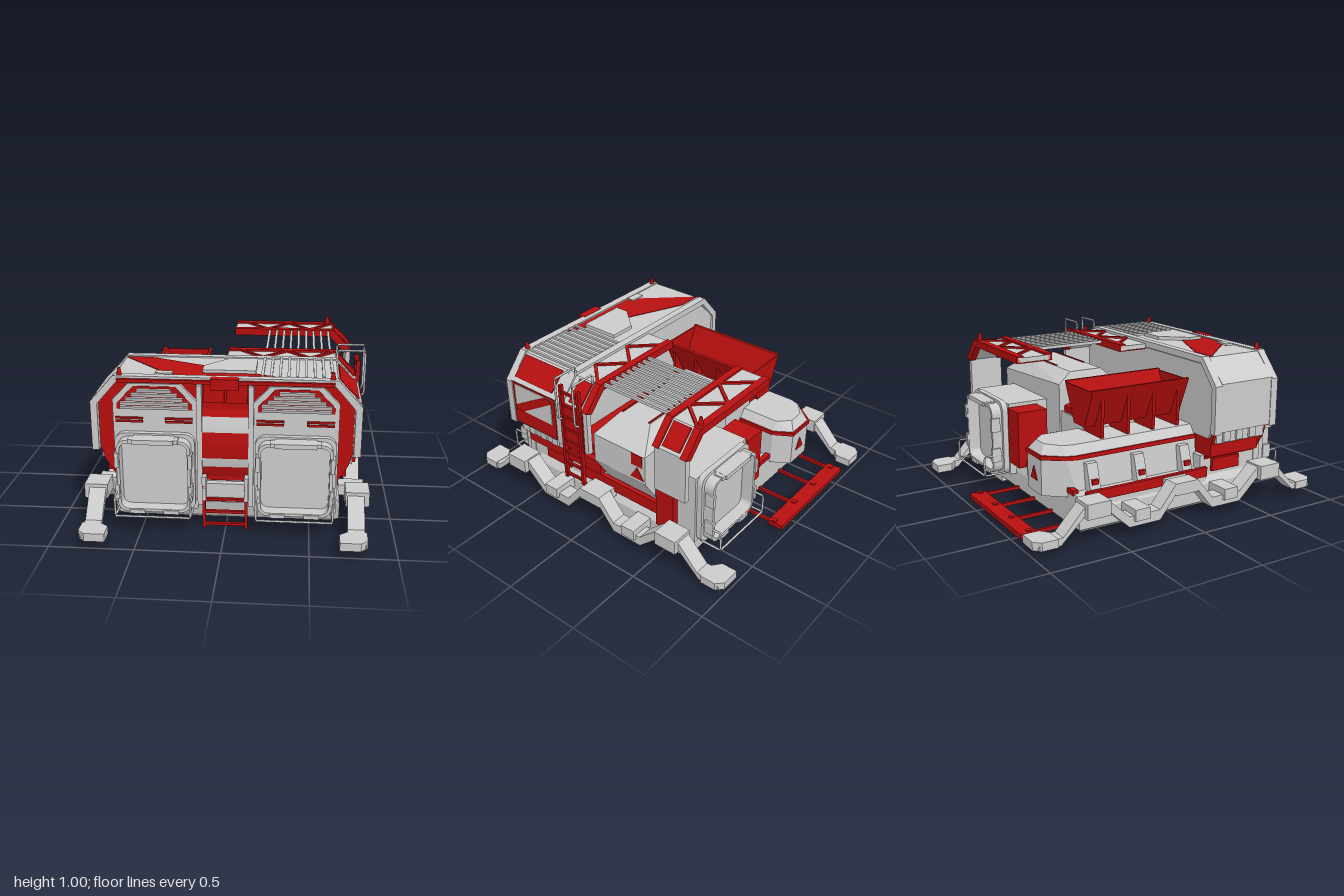
import * as THREE from 'three';
import { ConvexGeometry } from 'three/addons/geometries/ConvexGeometry.js';

const grey = new THREE.MeshStandardMaterial({ color: 0xcccccc });
const red = new THREE.MeshStandardMaterial({ color: 0xb80f0f });

export function createModel() {
  const root = new THREE.Group();
  const add = (name, geo, mat, parent = root) => {
    const m = new THREE.Mesh(geo, mat);
    m.name = name;
    parent.add(m);
    return m;
  };
  // box given by its min/max extents
  const box = (name, mat, x0, x1, y0, y1, z0, z1, parent) => {
    const m = add(name, new THREE.BoxGeometry(x1 - x0, y1 - y0, z1 - z0), mat, parent);
    m.position.set((x0 + x1) / 2, (y0 + y1) / 2, (z0 + z1) / 2);
    return m;
  };
  const poly = pts => new THREE.Shape(pts.map(p => new THREE.Vector2(...p)));
  // outline in x/y pushed from z0 to z1
  const slabZ = (name, mat, pts, z0, z1) =>
    add(name, new THREE.ExtrudeGeometry(poly(pts), { depth: z1 - z0, bevelEnabled: false }).translate(0, 0, z0), mat);
  // outline in z/y pushed from x0 to x1
  const slabX = (name, mat, pts, x0, x1, parent) =>
    add(name, new THREE.ExtrudeGeometry(poly(pts), { depth: x1 - x0, bevelEnabled: false }).rotateY(-Math.PI / 2).translate(x1, 0, 0), mat, parent);
  // outline in x/z pushed from y0 to y1
  const slabY = (name, mat, pts, y0, y1, parent) =>
    add(name, new THREE.ExtrudeGeometry(poly(pts), { depth: y1 - y0, bevelEnabled: false }).rotateX(Math.PI / 2).translate(0, y1, 0), mat, parent);
  const hull = (name, mat, pts) => add(name, new ConvexGeometry(pts.map(p => new THREE.Vector3(...p))), mat);
  // straight square bar between two points
  const bar = (name, mat, a, b, w) => {
    const p = new THREE.Vector3(...a), q = new THREE.Vector3(...b);
    const m = add(name, new THREE.BoxGeometry(w, w, p.distanceTo(q)), mat);
    m.position.copy(p).lerp(q, 0.5);
    m.lookAt(q);
  };
  const pipe = (name, mat, pts, r, parent) => {
    const path = new THREE.CurvePath();
    const v = pts.map(p => new THREE.Vector3(...p));
    for (let i = 1; i < v.length; i++) path.add(new THREE.LineCurve3(v[i - 1], v[i]));
    add(name, new THREE.TubeGeometry(path, (v.length - 1) * 6, r, 6), mat, parent);
  };
  const mirror = pts => [...pts, ...pts.slice().reverse().map(([x, y]) => [-x, y])];

  // base slab with bevelled lower edge
  const rect = (x, z0, z1, y) => [[-x, y, z0], [x, y, z0], [x, y, z1], [-x, y, z1]];
  hull('baseSlab', grey, [...rect(0.64, -0.62, 0.56, 0.01), ...rect(0.68, -0.65, 0.59, 0.04), ...rect(0.68, -0.65, 0.62, 0.15), ...rect(0.64, -0.63, 0.62, 0.21)]);
  box('baseBlock', grey, 0.4, 0.68, 0, 0.13, -0.65, -0.4);

  // zigzag side beams with feet
  const zig = [[0.98, 0.045], [0.84, 0.045], [0.69, 0.185], [0.54, 0.185], [0.4, 0.055], [0.19, 0.055], [0.08, 0.19]];
  const low = [...zig, ...zig.slice().reverse().map(([z, y]) => [-z, y])];
  const outline = [...low, ...low.slice().reverse().map(([z, y]) => [z * (Math.abs(z) > 0.6 ? 0.985 : 1), y + (Math.abs(z) > 0.8 ? 0.045 : 0.065)])];
  for (const s of [-1, 1]) {
    const g = new THREE.Group();
    g.name = s > 0 ? 'leftBeam' : 'rightBeam';
    root.add(g);
    slabX('zigzagBeam', grey, outline, s * 0.77 - 0.05, s * 0.77 + 0.05, g);
    const sb = (n, m, a, b, ...r) => box(n, m, Math.min(s * a, s * b), Math.max(s * a, s * b), ...r, g);
    for (const e of [-1, 1]) {
      const zb = (n, a, b, y0, y1, z0, z1) => sb(n, grey, a, b, y0, y1, Math.min(e * z0, e * z1), Math.max(e * z0, e * z1));
      slabY('foot', grey, [[0.67, 0.9], [0.67, 1], [0.79, 1], [0.83, 0.96], [0.83, 0.86], [0.72, 0.86]].map(([x, z]) => [x * s, z * e]), 0.043, 0.093, g);
      zb('beamBlock', 0.71, 0.85, 0.17, 0.26, 0.54, 0.69);
      zb('beamClamp', 0.68, 0.84, 0.09, 0.16, 0.27, 0.37);
    }
    sb('beamClamp', grey, 0.66, 0.82, 0.18, 0.25, -0.08, 0.08);
  }

  // front module: grey foot and red core under a grey arched shell
  box('frontFoot', grey, -0.65, 0.65, 0.15, 0.33, 0.22, 0.65);
  slabZ('frontCore', red, mirror([[0.65, 0.3], [0.66, 0.32], [0.72, 0.42], [0.75, 0.52], [0.75, 0.79], [0.63, 0.92]]), 0.25, 0.66);
  slabZ('backWall', grey, mirror([[0.7, 0.45], [0.745, 0.52], [0.745, 0.78], [0.62, 0.9]]), 0.235, 0.26);
  const outer = [[0.78, 0.5], [0.78, 0.8], [0.64, 0.94]], inner = [[0.74, 0.5], [0.74, 0.785], [0.625, 0.9]];
  const shell = [...mirror(outer), ...mirror(inner).reverse()];
  slabZ('frontShell', grey, shell, 0.27, 0.66);
  const rib = shell.map(([x, y]) => [x * 1.005, y > 0.85 ? y + 0.008 : y - 0.01]);
  for (const [z0, z1] of [[0.22, 0.27], [0.65, 0.7]]) slabZ('archRib', grey, rib, z0, z1);
  box('frontTopTrim', red, -0.62, 0.62, 0.915, 0.935, 0.69, 0.72);
  slabY('roofRedPanel', red, [[-0.64, 0.29], [-0.48, 0.29], [0.3, 0.64], [-0.32, 0.64]], 0.93, 0.944);
  slabY('roofHatch', grey, [[-0.14, 0.5], [0, 0.34], [0.17, 0.34], [0.17, 0.59], [-0.14, 0.59]], 0.94, 0.962);
  box('roofVent', grey, -0.41, -0.31, 0.94, 0.953, 0.59, 0.64);
  // red plate lying on the roof chamfer
  const slopePanel = (z0, z1, drop) => hull('slopePanel', red, [z0, z1].flatMap(z =>
    [[0.655, 0.935, z], [0.765, 0.825, z], [0.64, 0.92, z], [0.74, 0.82, z]].map(([x, y, c]) => [x, y - drop, c])));
  slopePanel(0.32, 0.64, 0);

  // side panels of the front module
  box('sidePanel', red, 0.76, 0.785, 0.51, 0.8, 0.28, 0.64);
  box('sideInset', grey, 0.78, 0.789, 0.61, 0.79, 0.31, 0.62);
  slabX('sideDiagonal', red, [[0.62, 0.61], [0.56, 0.61], [0.31, 0.76], [0.31, 0.79], [0.36, 0.79], [0.62, 0.64]], 0.78, 0.793);
  for (const s of [-1, 1]) {
    box('sideLedge', grey, s * 0.715 - 0.025, s * 0.715 + 0.025, 0.42, 0.51, 0.27, 0.64);
    for (const z of [0.34, 0.44, 0.54]) box('sideBracket', grey, s * 0.725 - 0.03, s * 0.725 + 0.03, 0.43, 0.5, z - 0.025, z + 0.025);
    box('sideBand', red, s * 0.69 - 0.02, s * 0.69 + 0.02, 0.33, 0.42, s > 0 ? 0 : 0.25, 0.62);
    box('sideLowerPanel', red, s * 0.655 - 0.015, s * 0.655 + 0.015, 0.22, 0.3, 0.3, 0.51);
  }

  // round-cornered hatch with handrails, built facing +z from z = 0
  const rounded = (w, h, r, P) => {
    const p = new P();
    p.moveTo(-w + r, -h); p.lineTo(w - r, -h); p.absarc(w - r, -h + r, r, -Math.PI / 2, 0);
    p.lineTo(w, h - r); p.absarc(w - r, h - r, r, 0, Math.PI / 2);
    p.lineTo(-w + r, h); p.absarc(-w + r, h - r, r, Math.PI / 2, Math.PI);
    p.lineTo(-w, -h + r); p.absarc(-w + r, -h + r, r, Math.PI, Math.PI * 1.5);
    return p;
  };
  const hatch = (x, z, turn) => {
    const g = new THREE.Group();
    g.name = 'hatch';
    g.position.set(x, 0.365, z);
    g.rotation.y = turn;
    root.add(g);
    const ring = (w, h, t, d) => {
      const s = rounded(w, h, 0.06, THREE.Shape);
      s.holes.push(rounded(w - t, h - t, 0.045, THREE.Path));
      return new THREE.ExtrudeGeometry(s, { depth: d, bevelEnabled: false, curveSegments: 6 });
    };
    add('hatchTunnel', ring(0.215, 0.225, 0.018, 0.1), grey, g);
    add('hatchCollar', ring(0.235, 0.245, 0.03, 0.035), grey, g);
    box('hatchDoor', grey, -0.2, 0.2, -0.21, 0.21, 0, 0.02, g);
    for (const s of [-1, 1]) {
      for (const y of [-0.1, 0.1]) box('hatchLatch', grey, s * 0.214 - 0.012, s * 0.214 + 0.012, y - 0.045, y + 0.045, 0.05, 0.11, g);
      for (const x of [-0.1, 0.1]) box('hatchLatch', grey, x - 0.045, x + 0.045, s * 0.222 - 0.012, s * 0.222 + 0.012, 0.05, 0.11, g);
      pipe('railEnd', grey, [[s * 0.22, -0.1, 0.02], [s * 0.22, -0.1, 0.165], [s * 0.22, -0.225, 0.165], [s * 0.22, -0.225, 0.02]], 0.007, g);
    }
    pipe('rail', grey, [[-0.22, -0.225, 0.165], [0.22, -0.225, 0.165]], 0.007, g);
    box('hatchHood', grey, -0.12, 0.12, 0.207, 0.235, 0, 0.12, g);
  };
  hatch(-0.41, 0.69, 0);
  hatch(0.41, 0.69, 0);
  hatch(0.41, -0.69, Math.PI);

  // front facade: columns, louvres and warning strips
  for (const s of [-1, 1]) {
    const c = s * 0.41;
    slabZ('facadeColumn', grey, [[-0.245, 0.12], [0.245, 0.12], [0.245, 0.8], [0.15, 0.9], [-0.15, 0.9], [-0.245, 0.8]].map(([x, y]) => [x + c, y]), 0.64, 0.685);
    slabZ('louvreFrame', red, [[-0.22, 0.745], [0.22, 0.745], [0.22, 0.78], [0.12, 0.885], [-0.12, 0.885], [-0.22, 0.78]].map(([x, y]) => [x + c, y]), 0.65, 0.69);
    for (let i = 0; i < 5; i++) {
      const w = 0.2 - Math.max(0, i - 1) * 0.033, y = 0.75 + i * 0.026;
      box('louvre', grey, c - w, c + w, y, y + 0.018, 0.675, 0.7).rotation.x = 0.3;
    }
    for (const k of [-0.15, 0.14]) for (const y of [0.665, 0.685]) box('warningStrip', red, c + k - 0.08, c + k + 0.08, y, y + 0.012, 0.68, 0.694);
    box('centrePost', grey, s * 0.15 - 0.015, s * 0.15 + 0.015, 0.15, 0.9, 0.64, 0.7);
    for (const z of [0.67, -0.68]) if (s > 0 || z > 0) {
      const b = add('beacon', new THREE.CylinderGeometry(0.008, 0.018, 0.05, 8), red);
      b.position.set(s * 0.61, 0.965, z);
    }
    box('centreWindow', red, s * 0.066 - 0.06, s * 0.066 + 0.06, 0.79, 0.9, 0.66, 0.675);
    box('ladderBracket', grey, s * 0.125 - 0.012, s * 0.125 + 0.012, 0.19, 0.34, 0.66, 0.72);
  }
  // curved centre plate with lighter bands
  const curved = (name, mat, r, a, span) => {
    const geo = new THREE.CylinderGeometry(r, r, 0.27, 16, 1, true, a, span).rotateZ(Math.PI / 2);
    add(name, geo, mat).position.set(0, 0.535, 0.123);
  };
  curved('centrePlate', red, 0.577, -0.42, 0.84);
  curved('centreBand', grey, 0.58, 0.14, 0.16);
  curved('centreBand', grey, 0.58, -0.24, 0.1);
  box('centreLamp', red, -0.08, 0.08, 0.885, 0.95, 0.68, 0.735);
  box('centreStep', grey, -0.13, 0.13, 0.2, 0.29, 0.62, 0.69);

  // ladders: front centre and left side
  const frontLadder = new THREE.Group(), sideLadder = new THREE.Group();
  frontLadder.name = 'frontLadder'; sideLadder.name = 'sideLadder';
  root.add(frontLadder, sideLadder);
  for (const s of [-1, 1]) box('stile', red, s * 0.125 - 0.009, s * 0.125 + 0.009, 0.01, 0.29, 0.7, 0.72, frontLadder);
  for (const y of [0.03, 0.11, 0.19]) box('rung', red, -0.12, 0.12, y, y + 0.016, 0.7, 0.72, frontLadder);
  for (const z of [0.08, 0.22]) {
    box('stile', red, 0.765, 0.79, 0.26, 0.93, z - 0.01, z + 0.01, sideLadder);
    pipe('grabRail', grey, [[0.65, 0.93, z], [0.65, 0.99, z], [0.82, 0.99, z], [0.82, 0.72, z], [0.78, 0.69, z]], 0.007, sideLadder);
  }
  for (let y = 0.28; y < 0.92; y += 0.085) box('rung', red, 0.77, 0.785, y, y + 0.016, 0.08, 0.22, sideLadder);

  // half arches over the rear bay with truss panels, red edges and lining
  const half = [[-0.03, 0.9], [0.625, 0.9], [0.735, 0.785], [0.735, 0.5], [0.77, 0.5], [0.77, 0.8], [0.64, 0.93], [-0.03, 0.93]];
  const edge = [[-0.03, 0.895], [0.625, 0.895], [0.735, 0.78], [0.778, 0.8], [0.648, 0.942], [-0.03, 0.942]];
  for (const [z0, z1, edges] of [[0.03, 0.23, [0.02]], [-0.7, -0.48, [-0.71, -0.515]]]) {
    slabZ('archPanel', grey, half, z0, z1);
    box('archLining', red, -0.02, 0.62, 0.892, 0.902, z0 + 0.01, z1 - 0.01);
    for (const z of edges) slabZ('archEdge', red, edge, z, z + 0.045);
    slopePanel(z0 + 0.05, z1 - 0.05, 0.005);
    for (let i = 0; i < 4; i++) {
      const a = z0 + 0.03, b = z1 - 0.02, x = 0.05 + i * 0.145;
      bar('trussBar', red, [x, 0.932, i % 2 ? b : a], [x + 0.145, 0.932, i % 2 ? a : b], 0.02);
    }
  }
  box('archSide', red, 0.74, 0.776, 0.5, 0.79, 0.06, 0.22);
  // roof slats
  for (let i = 0; i < 9; i++) {
    const x = 0.21 + i * 0.05;
    box('baySlat', grey, x - 0.008, x + 0.008, 0.915, 0.935, -0.48, 0.03);
    box('roofSlat', grey, x - 0.008, x + 0.008, 0.94, 0.953, 0.27, 0.65);
  }

  // angular tank under the slats
  hull('tank', grey, [...[-0.11, -0.33].flatMap(z => [[0, 0.8, z], [0.62, 0.8, z]]),
    ...[-0.03, -0.42].flatMap(z => [[-0.02, 0.73, z], [0.78, 0.69, z], [0.78, 0.5, z], [0.66, 0.31, z], [-0.02, 0.25, z]])]);
  for (const z of [-0.32, -0.12]) box('tankRidge', red, 0.2, 0.62, 0.795, 0.806, z - 0.005, z + 0.005);
  box('tankSquare', red, 0.77, 0.784, 0.61, 0.69, -0.4, -0.32);
  slabX('tankTriangle', red, [[-0.41, 0.52], [-0.31, 0.52], [-0.36, 0.6]], 0.77, 0.784);
  box('bayFoot', grey, 0, 0.65, 0.15, 0.33, -0.42, 0.22);
  box('baySide', red, 0, 0.67, 0.33, 0.5, 0, 0.24);
  // rear block behind the tank
  box('rearBlock', grey, 0.16, 0.66, 0.13, 0.6, -0.69, -0.42);
  box('rearRedBox', red, 0, 0.15, 0.22, 0.58, -0.7, -0.5);
  box('rearSideBox', red, 0.62, 0.7, 0.16, 0.56, -0.56, -0.43);
  box('lowerBand', red, 0.64, 0.68, 0.22, 0.3, -0.42, 0.2);

  // right rear deck and long casing beside a low ledge
  box('deck', grey, -0.67, 0, 0.14, 0.24, -0.65, 0.25);
  box('deckTrim', red, -0.685, -0.66, 0.2, 0.26, -0.6, 0.25);
  box('deckTrim', red, -0.62, 0, 0.23, 0.26, -0.655, -0.62);
  const casing = (side, nose, y) => [[-0.2 + nose, y, 0.24], [side, y, 0.24], [side, y, -0.6], [-0.54 - nose, y, -0.66], [-0.45 - nose, y, -0.77 - nose], [-0.27 + nose, y, -0.77 - nose], [-0.2 + nose, y, -0.66]];
  hull('casing', grey, [...casing(-0.59, 0, 0.2), ...casing(-0.56, 0, 0.44), ...casing(-0.52, -0.04, 0.5)]);
  hull('casingStripe', red, [...casing(-0.57, 0.008, 0.42), ...casing(-0.568, 0.008, 0.445)]);
  box('innerDeck', red, -0.2, 0, 0.24, 0.42, -0.5, 0.25);
  slabZ('casingTriangle', red, [[-0.4, 0.28], [-0.32, 0.28], [-0.36, 0.36]], -0.776, -0.76);
  for (const z of [-0.52, -0.2, 0.13]) {
    slabZ('casingBracket', grey, [[-0.65, 0.23], [-0.54, 0.23], [-0.54, 0.4], [-0.6, 0.4]], z - 0.035, z + 0.035);
    box('bracketPad', red, -0.645, -0.61, 0.28, 0.31, z - 0.02, z + 0.02);
  }

  // V-shaped hopper with ribs, fed from a rounded chute on the tank
  slabZ('hopper', red, [[-0.53, 0.8], [-0.43, 0.56], [-0.3, 0.56], [-0.19, 0.8], [-0.21, 0.8], [-0.31, 0.59], [-0.42, 0.59], [-0.51, 0.8]], -0.47, 0.21);
  for (const z of [-0.47, 0.2]) slabZ('hopperEnd', red, [[-0.52, 0.79], [-0.43, 0.57], [-0.3, 0.57], [-0.2, 0.79]], z, z + 0.01);
  for (const z of [-0.4, -0.22, -0.04, 0.14]) slabZ('hopperRib', red, [[-0.51, 0.74], [-0.5, 0.5], [-0.22, 0.5], [-0.21, 0.74], [-0.3, 0.57], [-0.43, 0.57]], z, z + 0.02);
  box('chuteBody', grey, -0.3, 0, 0.25, 0.56, -0.41, -0.04);
  slabY('chuteTop', red, [[-0.28, -0.4], [-0.05, -0.4], [-0.02, -0.36], [-0.02, -0.09], [-0.05, -0.05], [-0.28, -0.05]], 0.55, 0.6);
  for (const z of [-0.41, -0.04]) box('chuteRail', grey, -0.3, -0.24, 0.58, 0.6, z - 0.008, z + 0.008);

  // low bumper at the back
  box('bumper', red, -0.6, 0.15, 0.03, 0.06, -0.98, -0.88);
  [-0.57, -0.34, -0.1, 0.13].forEach(x => {
    box('bumperArm', red, x - 0.009, x + 0.009, 0.035, 0.055, -0.9, -0.6);
    box('bumperClip', red, x - 0.015, x + 0.015, 0.055, 0.066, -0.93, -0.9);
  });
  return root;
}
